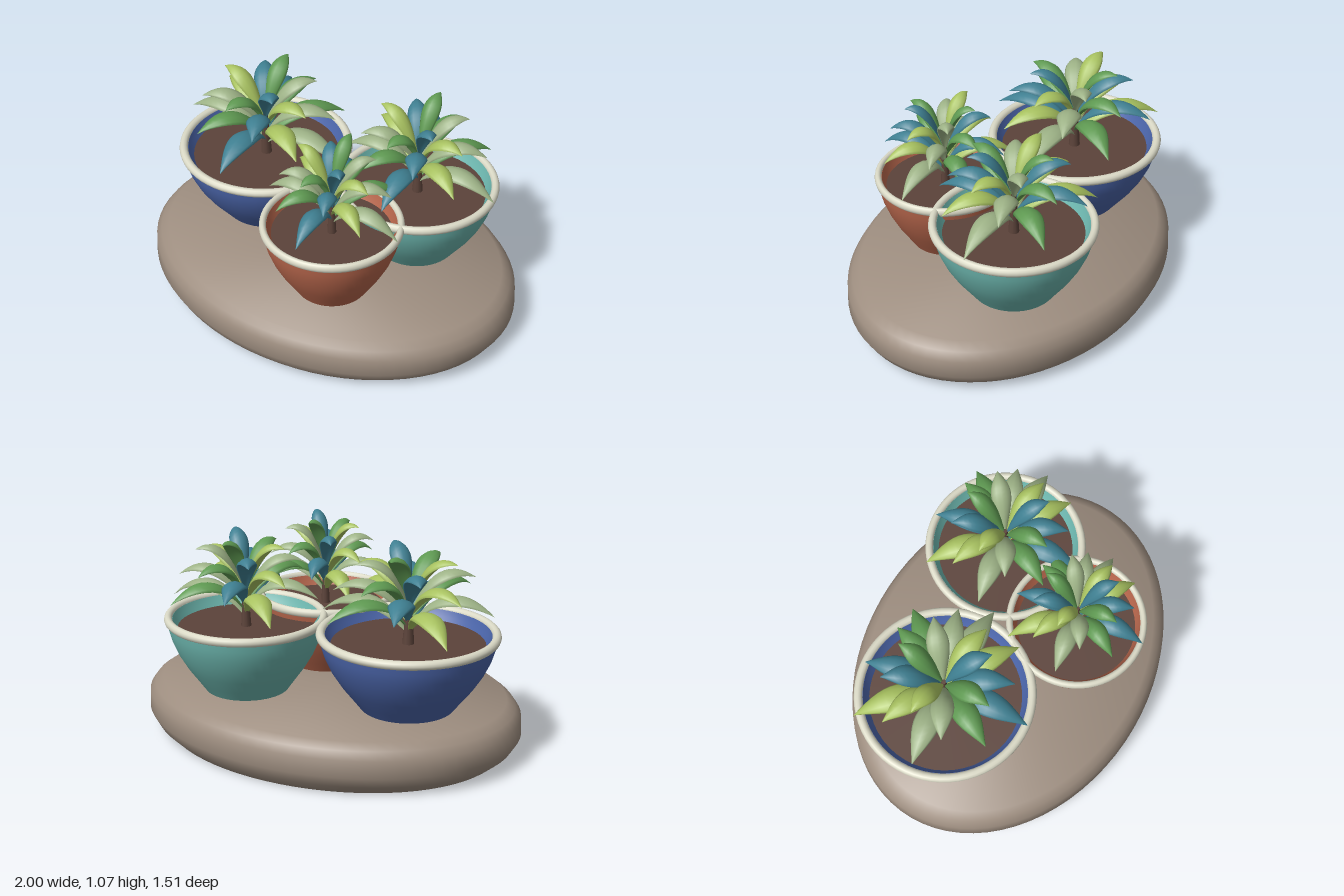
import * as THREE from 'three';
import { toCreasedNormals } from 'three/addons/utils/BufferGeometryUtils.js';

const mat = (name, color) => {
  const m = new THREE.MeshStandardMaterial({ color });
  m.name = name;
  return m;
};

const part = (name, geometry, material) => {
  const m = new THREE.Mesh(geometry, material);
  m.name = name;
  return m;
};

const lathe = (pts, segments = 64) => toCreasedNormals(
  new THREE.LatheGeometry(pts.map(([x, y]) => new THREE.Vector2(x, y)), segments), 0.75);

// Arched, pointed leaf with a lens section, swept along a curve growing towards +x
function leafGeometry(t) {
  const reach = 0.47 - 0.24 * t, tipY = 0.69 + 0.37 * t;
  const path = new THREE.QuadraticBezierCurve(
    new THREE.Vector2(0.01, 0.65 + 0.17 * t),
    new THREE.Vector2(reach * 0.45, tipY + 0.2 - 0.18 * t),
    new THREE.Vector2(reach, tipY));
  const rows = 14, sides = 12, width = 0.068 - 0.016 * t;
  const pos = [], index = [];
  for (let i = 0; i <= rows; i++) {
    const u = i / rows, p = path.getPoint(u), d = path.getTangent(u);
    const f = Math.max(0.02, Math.sin(Math.PI * Math.pow(0.06 + 0.94 * u, 1.15)));
    for (let j = 0; j < sides; j++) {
      const a = j / sides * Math.PI * 2, c = Math.cos(a);
      const h = f * (0.013 * Math.sin(a) + 0.022 * (0.5 - c * c));
      pos.push(p.x - d.y * h, p.y + d.x * h, f * width * c);
      if (i < rows) {
        const k = i * sides + j, n = i * sides + (j + 1) % sides;
        index.push(k, k + sides, n, n, k + sides, n + sides);
      }
    }
  }
  const g = new THREE.BufferGeometry();
  g.setAttribute('position', new THREE.Float32BufferAttribute(pos, 3));
  g.setIndex(index);
  g.computeVertexNormals();
  return g;
}

export function createModel() {
  const root = new THREE.Group();
  root.name = 'succulentTray';

  const stone = mat('taupe stone', 0x9e8e80);
  const rimMat = mat('cream glaze', 0xdad9c6);
  const soilMat = mat('brown soil', 0x5c433a);
  const leafMats = [
    mat('sage leaf', 0x9db286), mat('lime leaf', 0xa8c260),
    mat('blue leaf', 0x3f8092), mat('green leaf', 0x5f9a52),
  ];

  // Oval tray with bevelled edges
  const tray = part('tray', lathe([[0, 0], [0.905, 0], [0.965, 0.05], [1, 0.107],
    [0.995, 0.195], [0.965, 0.235], [0.92, 0.267], [0, 0.267]], 72), stone);
  tray.scale.z = 0.757;
  root.add(tray);

  // Parts shared by all three pots, sized for the widest one
  const R = 0.45;
  const bowl = lathe([[0, 0.255], [0.225, 0.255], [0.275, 0.32], [0.33, 0.39], [0.375, 0.46],
    [0.408, 0.53], [0.425, 0.585], [0.432, 0.64], [0.405, 0.64], [0.392, 0.61], [0.365, 0.57]]);
  const rim = new THREE.TorusGeometry(R - 0.0225, 0.0225, 12, 64).rotateX(Math.PI / 2);
  const soil = new THREE.CircleGeometry(0.378, 48).rotateX(-Math.PI / 2);
  const stem = new THREE.CylinderGeometry(0.012, 0.03, 0.24, 10);
  const leafCount = 20;
  const leaves = Array.from({ length: leafCount }, (_, i) => leafGeometry(i / (leafCount - 1)));

  const pots = [
    ['bluePot', mat('blue glaze', 0x4a64a8), -0.47, -0.09, 1],
    ['tealPot', mat('teal glaze', 0x6cb5ad), 0.36, -0.235, 0.91],
    ['terracottaPot', mat('terracotta', 0xb5654b), 0.185, 0.28, 0.785],
  ];
  for (const [name, glaze, x, z, s] of pots) {
    const pot = new THREE.Group();
    pot.name = name;
    pot.position.set(x, 0, z);
    pot.scale.set(s, 1, s);
    pot.add(part('bowl', bowl, glaze));

    const ring = part('rim', rim, rimMat);
    ring.position.y = 0.637;
    const earth = part('soil', soil, soilMat);
    earth.position.y = 0.59;
    const core = part('stem', stem, soilMat);
    core.position.y = 0.7;
    pot.add(ring, earth, core);

    // Leaves spiral upward by the golden angle, the colours repeating in order
    const plant = new THREE.Group();
    plant.name = 'succulent';
    leaves.forEach((g, i) => {
      const leaf = part('leaf', g, leafMats[i % 4]);
      leaf.rotation.y = THREE.MathUtils.degToRad(137.5 * i);
      plant.add(leaf);
    });
    pot.add(plant);
    root.add(pot);
  }
  return root;
}
